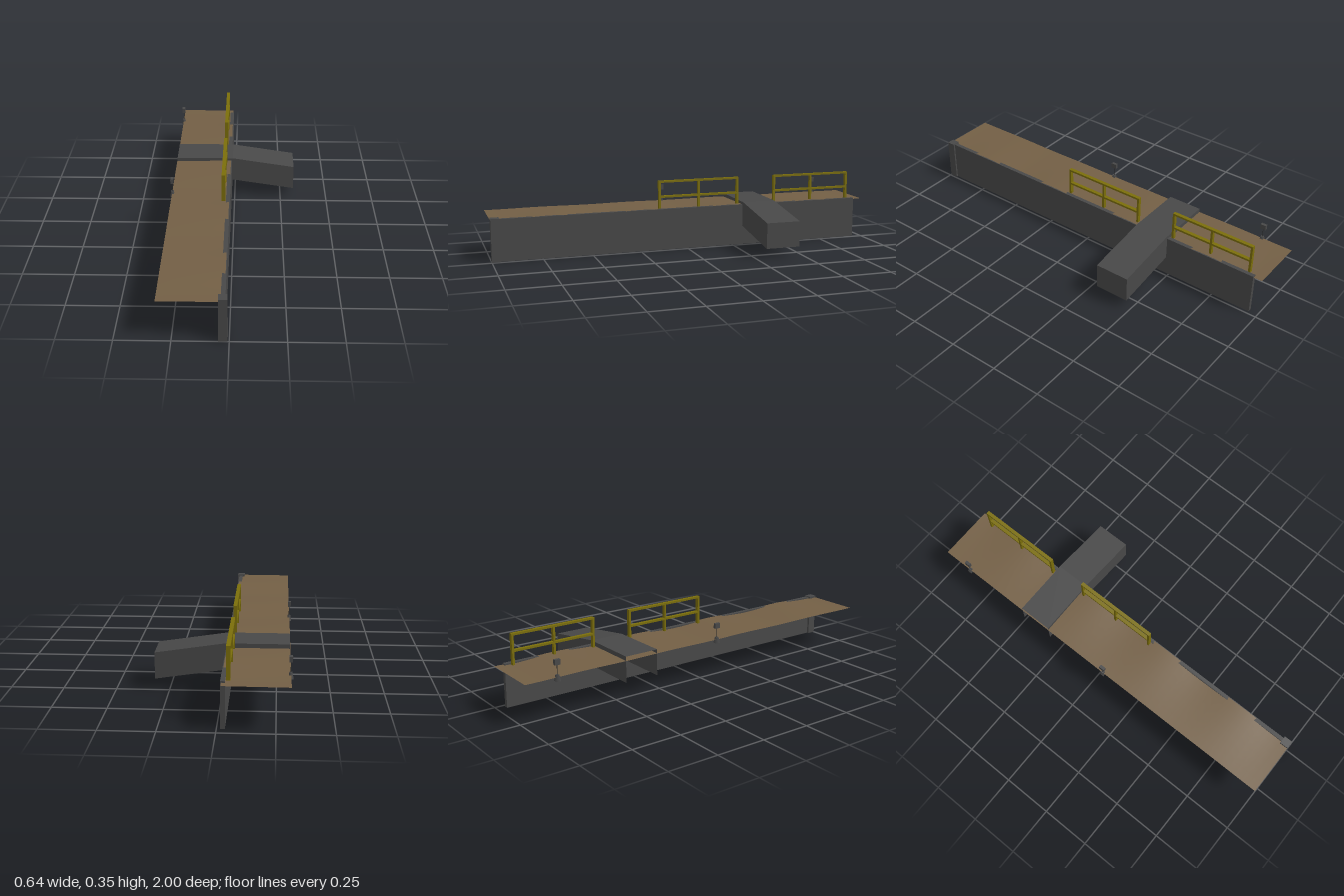
import * as THREE from 'three';

const paint = (name, color, side = THREE.FrontSide) => {
  const m = new THREE.MeshStandardMaterial({ color, side });
  m.name = name;
  return m;
};

export function createModel() {
  const model = new THREE.Group();
  model.name = 'retainingWall';
  const concrete = paint('concrete grey', 0x484848);
  const sheet = paint('concrete sheet grey', 0x484848, THREE.DoubleSide);
  const earth = paint('earth brown', 0x735f45, THREE.DoubleSide);
  const yellow = paint('railing yellow', 0x7b6e0a);
  const dark = paint('pole dark grey', 0x2c2c2c);

  const add = (parent, name, geo, mat, x = 0, y = 0, z = 0) => {
    const mesh = new THREE.Mesh(geo, mat);
    mesh.name = name;
    mesh.position.set(x, y, z);
    parent.add(mesh);
    return mesh;
  };
  // box given by its lower and upper corners
  const box = (parent, name, mat, [x0, y0, z0], [x1, y1, z1]) =>
    add(parent, name, new THREE.BoxGeometry(x1 - x0, y1 - y0, z1 - z0), mat,
      (x0 + x1) / 2, (y0 + y1) / 2, (z0 + z1) / 2);

  // long wall and its end post
  box(model, 'wall', concrete, [-0.036, 0, -0.955], [-0.016, 0.212, 0.96]);
  box(model, 'endPost', concrete, [-0.047, 0, 0.957], [-0.007, 0.216, 1]);

  // gently rolling ground behind the wall
  const ground = new THREE.PlaneGeometry(0.292, 2, 6, 48).rotateX(-Math.PI / 2);
  const p = ground.attributes.position;
  for (let i = 0; i < p.count; i++) {
    const across = p.getX(i) / 0.292 + 0.5;
    const wave = Math.cos((p.getZ(i) - 0.24) * 13.4);
    p.setY(i, 0.206 + 0.004 * across + wave * (0.001 + 0.004 * across));
  }
  ground.computeVertexNormals();
  add(model, 'ground', ground, earth, -0.166, 0, 0);

  // culvert: sloping solid outlet in front, open-bottomed channel behind
  const culvert = new THREE.Group();
  culvert.name = 'culvert';
  model.add(culvert);
  const zBack = -0.48, zFront = -0.305, depth = zFront - zBack, bend = -0.01, left = -0.31;
  const outline = new THREE.Shape([[bend, 0.097], [0.32, 0.047], [0.32, 0.176], [bend, 0.226]]
    .map(([x, y]) => new THREE.Vector2(x, y)));
  add(culvert, 'outlet', new THREE.ExtrudeGeometry(outline, { depth, bevelEnabled: false }),
    concrete, 0, 0, zBack);
  const length = bend - left, mid = (bend + left) / 2;
  for (const z of [zBack, zFront])
    add(culvert, 'channelSide', new THREE.PlaneGeometry(length, 0.129), sheet, mid, 0.1615, z);
  add(culvert, 'channelTop', new THREE.PlaneGeometry(length, depth).rotateX(-Math.PI / 2),
    sheet, mid, 0.226, (zBack + zFront) / 2);

  // two safety railings
  for (const [z0, z1] of [[-0.29, 0.146], [-0.925, -0.489]]) {
    const railing = new THREE.Group();
    railing.name = 'railing';
    model.add(railing);
    for (const z of [z0, (z0 + z1 - 0.011) / 2, z1 - 0.011])
      box(railing, 'railingPost', yellow, [-0.057, 0.193, z], [-0.039, 0.346, z + 0.011]);
    for (const y of [0.267, 0.345])
      box(railing, 'rail', yellow, [-0.057, y, z0], [-0.039, y + 0.01, z1]);
  }

  // small lamps on the far edge of the ground
  for (const z of [0.055, -0.84]) {
    const lamp = new THREE.Group();
    lamp.name = 'lamp';
    lamp.position.set(-0.31, 0, z);
    model.add(lamp);
    add(lamp, 'lampBase', new THREE.CylinderGeometry(0.009, 0.016, 0.03, 4)
      .rotateY(Math.PI / 4), concrete, 0, 0.203, 0);
    add(lamp, 'lampPole', new THREE.CylinderGeometry(0.0015, 0.0015, 0.052, 8), dark, 0, 0.242, 0);
    box(lamp, 'lampHead', concrete, [-0.008, 0.264, -0.014], [0.007, 0.289, 0.014]);
  }
  return model;
}
